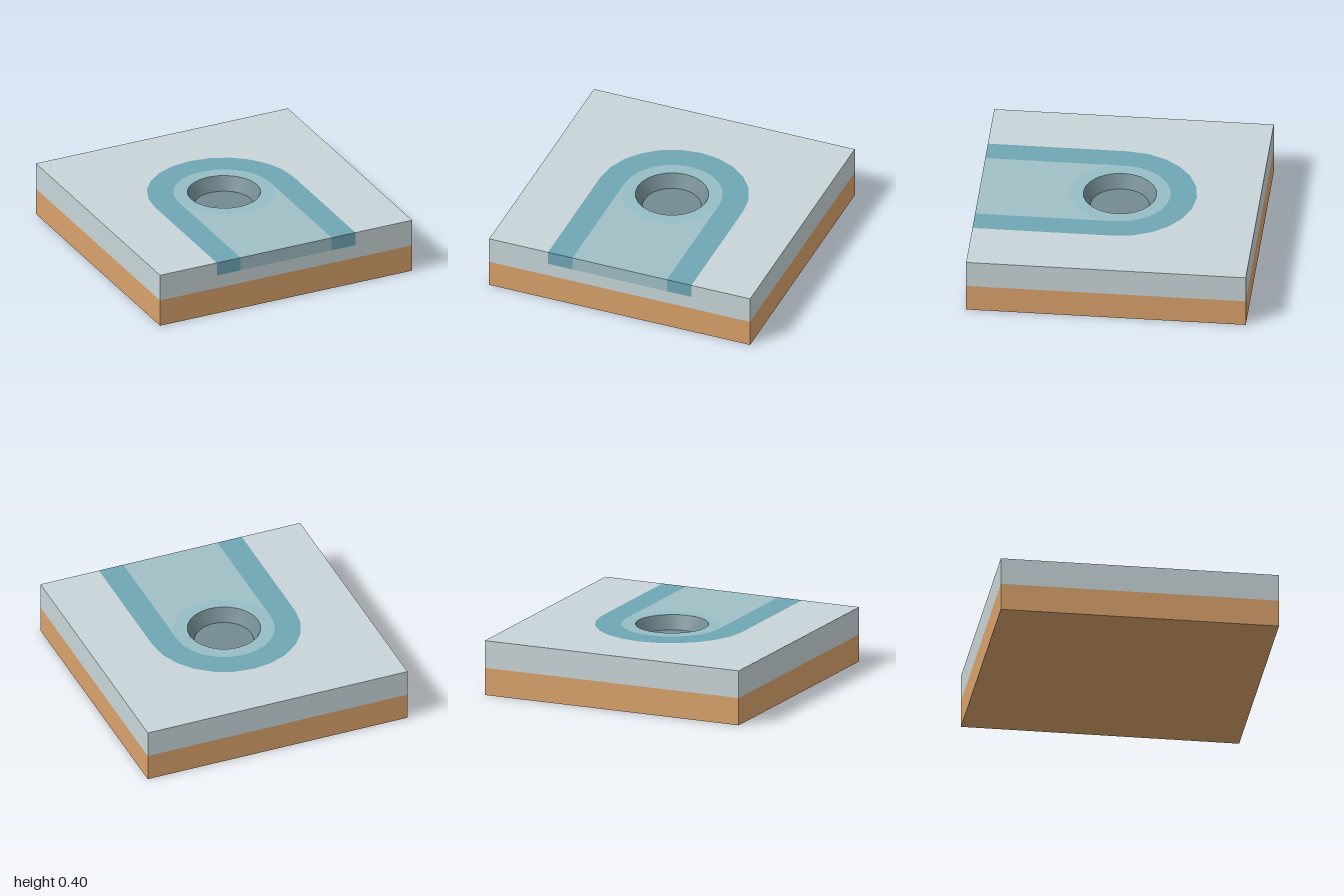
import * as THREE from 'three';

const HOLE_R = 0.262, FLOOR_R = 0.21, PAD_R = 0.362, BAND_R = 0.55;
const FLOOR_Y = 0.3, TOP_Y = 0.4, SIDES = 24;

// Points on a circle, one per 15 degrees, from angle a to angle b
function arc(r, a, b) {
  const n = Math.round(Math.abs(b - a) / (2 * Math.PI / SIDES));
  return Array.from({ length: n + 1 }, (_, i) => {
    const t = a + (b - a) * i / n;
    return new THREE.Vector2(r * Math.cos(t), r * Math.sin(t));
  });
}

// Flat inlay between the recess floor and the top; outline y is -z
function inlay(outline, hole) {
  const shape = new THREE.Shape(outline);
  if (hole) shape.holes.push(new THREE.Path(hole));
  const geo = new THREE.ExtrudeGeometry(shape, { depth: TOP_Y - FLOOR_Y, bevelEnabled: false });
  return geo.rotateX(-Math.PI / 2).translate(0, FLOOR_Y, 0);
}

export function createModel() {
  const model = new THREE.Group();
  const add = (name, geo, color) => {
    const mesh = new THREE.Mesh(geo, new THREE.MeshStandardMaterial({ color }));
    mesh.name = name;
    model.add(mesh);
    return mesh;
  };
  const P = (x, y) => new THREE.Vector2(x, y);
  const PI = Math.PI;

  // Two stacked slabs
  add('baseSlab', new THREE.BoxGeometry(2, 0.2, 2).translate(0, 0.1, 0), 0xd9a26b);
  add('coverLower', new THREE.BoxGeometry(2, 0.1, 2).translate(0, 0.25, 0), 0xc8d5d8);

  // Cover top, cut away around the arched band
  add('coverTop', inlay([
    P(-1, -1), P(-BAND_R, -1), ...arc(BAND_R, PI, 0), P(BAND_R, -1), P(1, -1), P(1, 1), P(-1, 1),
  ]), 0xc8d5d8);

  // Arched band running to the front edge
  add('archBand', inlay([
    P(-BAND_R, -1), ...arc(BAND_R, PI, 0), P(BAND_R, -1),
    P(PAD_R, -1), ...arc(PAD_R, 0, PI), P(-PAD_R, -1),
  ]), 0x6fa7b5);

  // Strip between the legs of the band
  add('innerStrip', inlay([
    P(-PAD_R, -1), ...arc(PAD_R, PI, 2 * PI), P(PAD_R, -1),
  ]), 0x9fbfc6);

  // Collar around the hole
  add('holeCollar', inlay(arc(PAD_R, 0, 2 * PI).slice(0, -1), arc(HOLE_R, 0, 2 * PI).slice(0, -1)), 0x97bdc6);

  // Tapered hole wall and its floor
  add('holeWall', new THREE.LatheGeometry([P(HOLE_R, TOP_Y), P(FLOOR_R, FLOOR_Y)], SIDES), 0x738b91);
  add('holeFloor', new THREE.CircleGeometry(FLOOR_R, SIDES).rotateX(-PI / 2).translate(0, FLOOR_Y + 0.002, 0), 0x738b91);

  return model;
}
